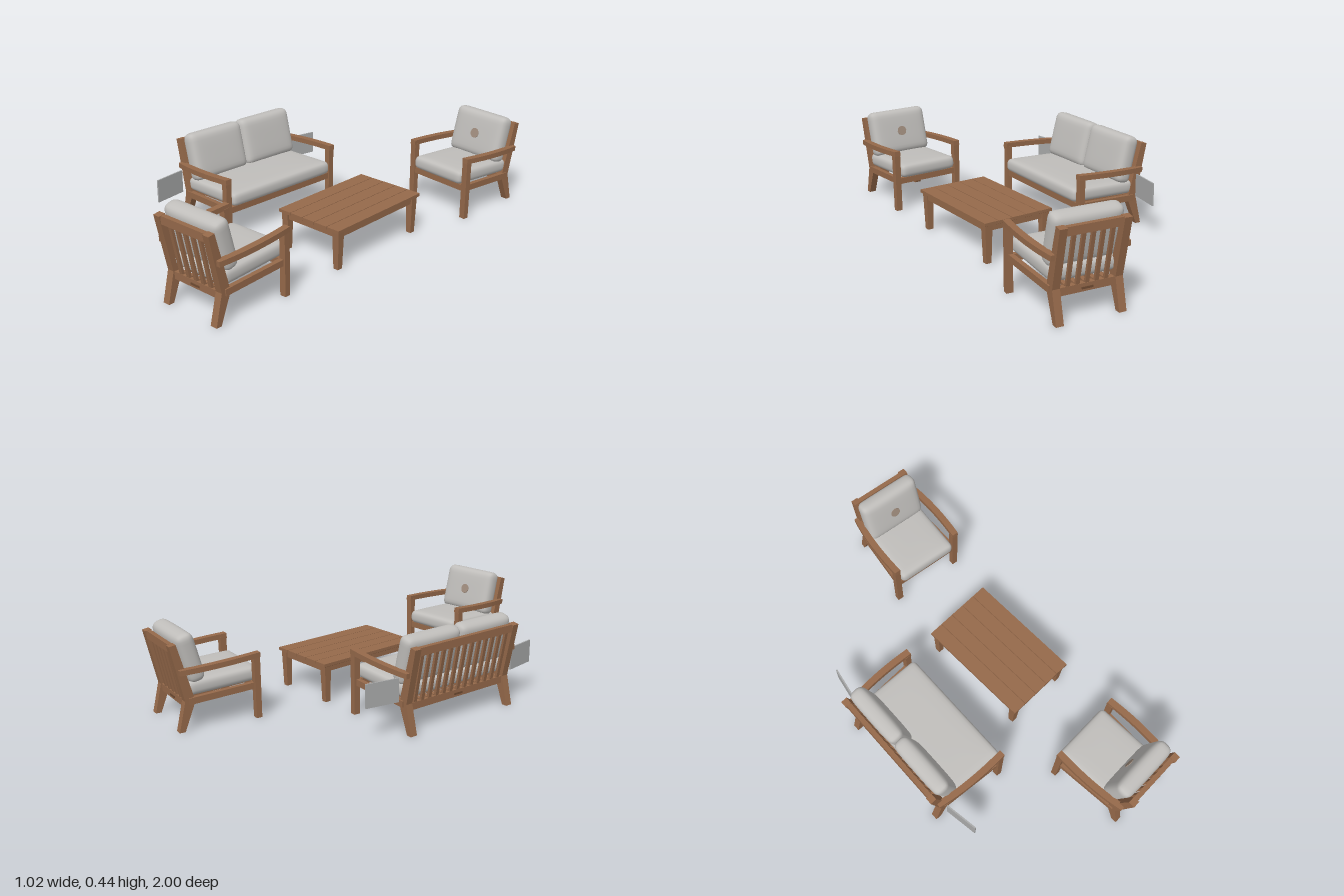
import * as THREE from 'three';
import { mergeVertices } from 'three/addons/utils/BufferGeometryUtils.js';

const mat = (name, color) => new THREE.MeshStandardMaterial({ name, color });
const wood = mat('warm wood', 0x95694a);
const darkWood = mat('dark wood', 0x6f4c33);
const fabric = mat('light grey fabric', 0xc0bebb);
const panelGrey = mat('panel grey', 0xa9aaaa);
const buttonTan = mat('button tan', 0xa08d7e);

function add(parent, name, geometry, material, x = 0, y = 0, z = 0) {
  const mesh = new THREE.Mesh(geometry, material);
  mesh.name = name;
  mesh.position.set(x, y, z);
  parent.add(mesh);
  return mesh;
}

// Straight bar from a to b: w across, h in the bar's own upright direction
function beam(parent, name, a, b, w, h, material = wood) {
  const A = new THREE.Vector3(...a), B = new THREE.Vector3(...b);
  const mesh = new THREE.Mesh(new THREE.BoxGeometry(w, h, A.distanceTo(B)), material);
  mesh.name = name;
  mesh.position.copy(A).add(B).multiplyScalar(0.5);
  mesh.lookAt(B);
  parent.add(mesh);
  return mesh;
}

// Side profile of [depth, height] points, extruded across the width
function sidePart(points, thickness) {
  const shape = new THREE.Shape(points.map(p => new THREE.Vector2(...p)));
  const g = new THREE.ExtrudeGeometry(shape, { depth: thickness, bevelEnabled: false });
  return g.translate(0, 0, -thickness / 2).rotateY(-Math.PI / 2);
}

// Plump cushion, thin along y: rounded box with domed faces
function cushionGeometry(w, h, d, r = 0.024, bulge = 0.22) {
  let g = new THREE.BoxGeometry(2, 2, 2, 18, 10, 18);
  g.deleteAttribute('uv');
  g.deleteAttribute('normal');
  g = mergeVertices(g, 1e-4);
  const half = new THREE.Vector3(w, h / (1 + bulge), d).multiplyScalar(0.5);
  r = Math.min(r, half.y * 0.95);
  const inner = half.clone().subScalar(r);
  const pos = g.attributes.position, p = new THREE.Vector3(), core = new THREE.Vector3();
  for (let i = 0; i < pos.count; i++) {
    p.fromBufferAttribute(pos, i);
    // crowd the vertices toward the edges
    p.set(...p.toArray().map(t => Math.sin(t * Math.PI / 2))).multiply(half);
    core.copy(p).clamp(inner.clone().negate(), inner);
    p.sub(core).setLength(r).add(core);
    const u = p.x / half.x, v = p.z / half.z;
    p.y *= 1 + bulge * (1 - u ** 4) * (1 - v ** 4);
    pos.setXYZ(i, p.x, p.y, p.z);
  }
  g.computeVertexNormals();
  return g;
}

// Armrest bowed outward in plan, rising toward the front
function armGeometry(side, hw) {
  const s = new THREE.Shape();
  s.moveTo(side * (hw + 0.018), 0.03);
  s.quadraticCurveTo(side * (hw + 0.05), 0.2, side * (hw + 0.033), 0.407);
  s.lineTo(side * (hw + 0.002), 0.407);
  s.quadraticCurveTo(side * (hw + 0.018), 0.2, side * (hw - 0.012), 0.03);
  s.closePath();
  const g = new THREE.ExtrudeGeometry(s, { depth: 0.024, bevelEnabled: false, curveSegments: 10 });
  return g.rotateX(Math.PI / 2).rotateX(-0.056).translate(0, 0.289, 0);
}

// Seat facing +z with its back at z = 0; hw is half the width of the back
function createSeat(name, hw, slats, backCushions) {
  const seat = new THREE.Group();
  seat.name = name;
  const post = [[0.018, 0], [0.045, 0], [0.098, 0.13], [0.088, 0.18],
    [0.027, 0.405], [-0.004, 0.4], [0.052, 0.14]];
  for (const side of [-1, 1]) {
    add(seat, 'backPost', sidePart(post, 0.034), wood, side * (hw - 0.017));
    add(seat, 'frontLeg', sidePart([[0.377, 0], [0.404, 0], [0.405, 0.295], [0.375, 0.293]], 0.03),
      wood, side * (hw + 0.017));
    add(seat, 'armrest', armGeometry(side, hw), wood);
    beam(seat, 'sideRail', [side * (hw - 0.005), 0.138, 0.07], [side * (hw + 0.012), 0.156, 0.385], 0.022, 0.03);
  }
  // Rails
  const inner = hw - 0.03;
  beam(seat, 'topRail', [-inner, 0.384, 0.015], [inner, 0.384, 0.015], 0.022, 0.036);
  beam(seat, 'lowerBackRail', [-inner, 0.122, 0.07], [inner, 0.122, 0.07], 0.026, 0.034);
  beam(seat, 'frontRail', [-hw - 0.01, 0.152, 0.388], [hw + 0.01, 0.152, 0.388], 0.02, 0.03);
  add(seat, 'railPlate', new THREE.BoxGeometry(0.05, 0.009, 0.004), darkWood, 0, 0.12, 0.056);
  // Back slats and seat slats
  for (let i = 0; i < slats; i++) {
    const x = (i - (slats - 1) / 2) * 0.0425;
    beam(seat, 'backSlat', [x, 0.13, 0.066], [x, 0.375, 0.017], 0.017, 0.012);
    beam(seat, 'seatSlat', [x, 0.138, 0.07], [x, 0.154, 0.385], 0.02, 0.012);
  }
  // Cushions
  add(seat, 'seatCushion', cushionGeometry(hw * 2 - 0.004, 0.078, 0.35), fabric, 0, 0.196, 0.242)
    .rotation.x = -0.035;
  const cw = hw * 2 / backCushions;
  for (let i = 0; i < backCushions; i++) {
    const x = (i - (backCushions - 1) / 2) * cw;
    const c = add(seat, 'backCushion', cushionGeometry(cw, 0.092, 0.232, 0.03), fabric, x, 0.327, 0.098);
    c.rotation.x = Math.PI / 2 - 0.25;
    if (backCushions === 1) {
      add(c, 'cushionButton', new THREE.CylinderGeometry(0.025, 0.025, 0.006, 12), buttonTan, 0, 0.046, 0);
    }
  }
  return seat;
}

function createTable() {
  const table = new THREE.Group();
  table.name = 'coffeeTable';
  const w = 0.36, l = 0.575, planks = 5, pw = w / planks;
  for (let i = 0; i < planks; i++) {
    add(table, 'tabletopPlank', new THREE.BoxGeometry(pw - 0.003, 0.014, l), wood,
      (i - (planks - 1) / 2) * pw, 0.189, 0);
  }
  add(table, 'tabletopUnderside', new THREE.BoxGeometry(w - 0.012, 0.004, l - 0.012), darkWood, 0, 0.181, 0);
  for (const sx of [-1, 1]) {
    add(table, 'longApron', new THREE.BoxGeometry(0.014, 0.03, l - 0.06), wood, sx * (w / 2 - 0.024), 0.166, 0);
    add(table, 'shortApron', new THREE.BoxGeometry(w - 0.06, 0.03, 0.014), wood, 0, 0.166, sx * (l / 2 - 0.024));
    for (const sz of [-1, 1]) {
      const leg = new THREE.CylinderGeometry(0.026, 0.019, 0.18, 4, 1).toNonIndexed().rotateY(Math.PI / 4);
      leg.computeVertexNormals();
      add(table, 'tableLeg', leg, wood, sx * (w / 2 - 0.028), 0.09, sz * (l / 2 - 0.028));
    }
  }
  return table;
}

export function createModel() {
  const model = new THREE.Group();
  model.name = 'patioSet';
  const place = (part, x, z, turn) => {
    part.position.set(x, 0, z);
    part.rotation.y = turn;
    model.add(part);
  };
  place(createSeat('sofa', 0.312, 13, 2), -0.5, 0.1, Math.PI / 2 + 0.012);
  place(createSeat('frontArmchair', 0.157, 5, 1), 0.32, 0.98, Math.PI + 0.096);
  place(createSeat('rearArmchair', 0.157, 5, 1), 0.33, -0.985, -0.07);
  place(createTable(), 0.268, 0, 0.066);
  // Flat panels beside the sofa
  beam(model, 'sidePanel', [-0.432, 0.21, 0.44], [-0.402, 0.21, 0.6], 0.007, 0.11, panelGrey);
  beam(model, 'sidePanel', [-0.432, 0.21, -0.24], [-0.408, 0.21, -0.4], 0.007, 0.11, panelGrey);
  return model;
}
